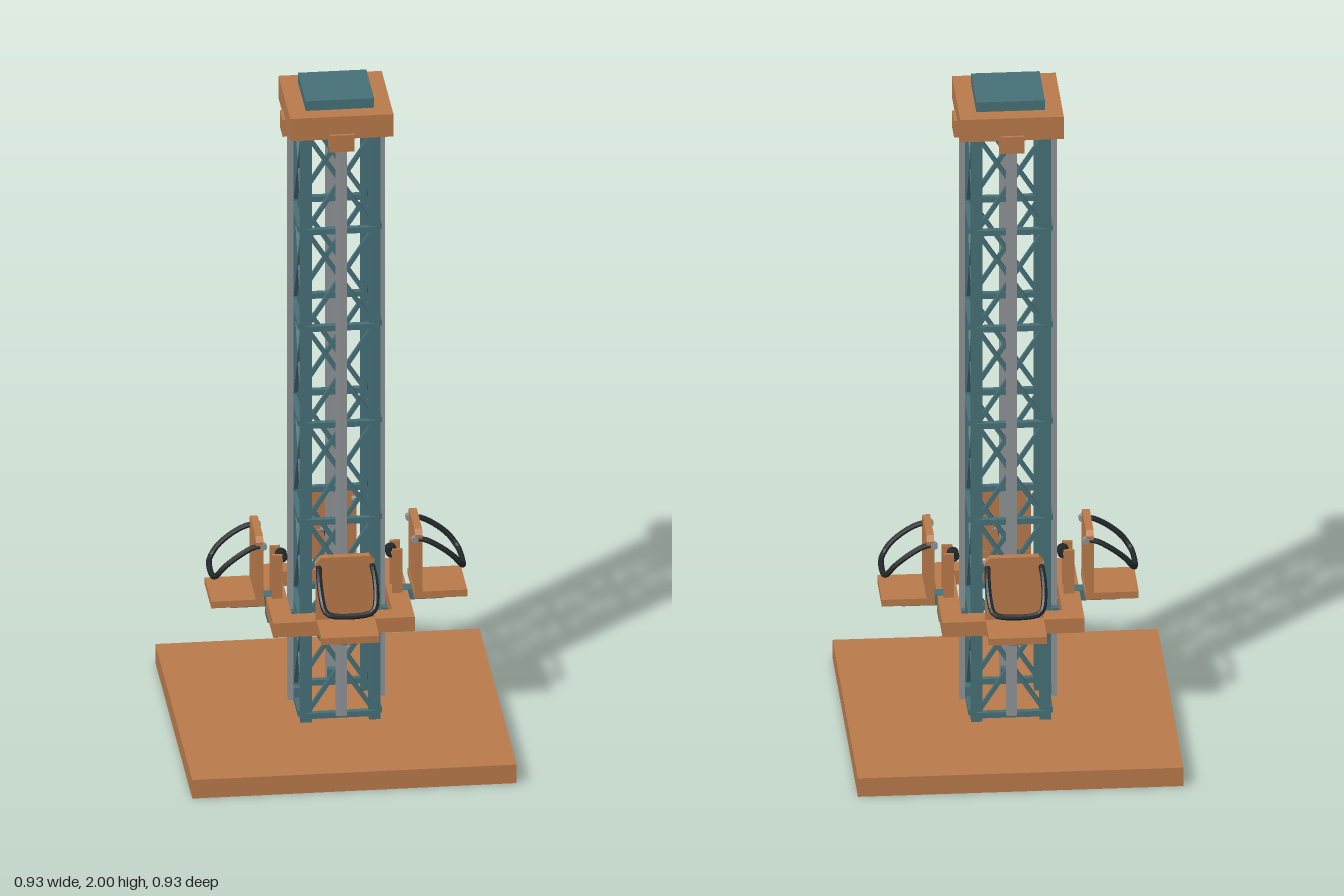
import * as THREE from 'three';

const mat = (color) => new THREE.MeshStandardMaterial({ color, flatShading: true });
const orange = mat(0xb87a4b), teal = mat(0x467077), steel = mat(0x8f9396), black = mat(0x22282a);

function add(parent, name, geometry, material, x = 0, y = 0, z = 0) {
  const mesh = new THREE.Mesh(geometry, material);
  mesh.name = name;
  mesh.position.set(x, y, z);
  parent.add(mesh);
  return mesh;
}

// Box given by its minimum and maximum on each axis
function box(parent, name, material, [x0, x1], [y0, y1], [z0, z1]) {
  return add(parent, name, new THREE.BoxGeometry(x1 - x0, y1 - y0, z1 - z0), material,
    (x0 + x1) / 2, (y0 + y1) / 2, (z0 + z1) / 2);
}

// Square bar between two points
function strut(parent, name, a, b, t) {
  const dir = b.clone().sub(a);
  const mesh = add(parent, name, new THREE.BoxGeometry(t, dir.length(), t), teal);
  mesh.position.copy(a).add(b).multiplyScalar(0.5);
  mesh.quaternion.setFromUnitVectors(new THREE.Vector3(0, 1, 0), dir.normalize());
}

// One face of the lattice tower, with its guide rail
function towerSide() {
  const g = new THREE.Group();
  g.name = 'towerSide';
  const v = (x, y, z) => new THREE.Vector3(x, y, z);
  const bays = 6, y0 = 0.08, step = 0.3035, w = 0.098;
  for (let i = 0; i <= bays; i++) {
    const y = y0 + i * step;
    strut(g, 'crossbar', v(-w, y, 0.112), v(w, y, 0.112), 0.017);
    if (i === bays) break;
    strut(g, 'brace', v(-w, y, 0.106), v(w, y + step, 0.106), 0.012);
    strut(g, 'brace', v(w, y, 0.104), v(-w, y + step, 0.104), 0.012);
  }
  box(g, 'guideRail', steel, [-0.015, 0.015], [0.085, 1.88], [0.124, 0.139]);
  box(g, 'railFoot', teal, [-0.012, 0.012], [0.09, 0.12], [0.104, 0.125]);
  box(g, 'railBracket', orange, [-0.035, 0.035], [1.863, 1.915], [0.11, 0.157]);
  return g;
}

// Seat with backrest, restraint bar, support beam and guide roller
function seatUnit() {
  const g = new THREE.Group();
  g.name = 'seatUnit';
  box(g, 'seat', orange, [-0.083, 0.083], [0.416, 0.437], [0.215, 0.367]);
  box(g, 'supportBeam', teal, [-0.02, 0.02], [0.385, 0.4165], [0.178, 0.305]);
  box(g, 'underBlock', teal, [-0.036, 0.036], [0.34, 0.371], [0.125, 0.2]);

  // Backrest with clipped top corners
  const s = new THREE.Shape();
  s.moveTo(-0.083, 0.437);
  s.lineTo(0.083, 0.437);
  s.lineTo(0.083, 0.615);
  s.lineTo(0.07, 0.63);
  s.lineTo(-0.07, 0.63);
  s.lineTo(-0.083, 0.615);
  s.closePath();
  add(g, 'backrest', new THREE.ExtrudeGeometry(s, { depth: 0.022, bevelEnabled: false }), orange, 0, 0, 0.217);

  // Restraint bar bent over the lap
  const half = [[0.076, 0.6, 0.222], [0.077, 0.598, 0.245], [0.08, 0.577, 0.285],
    [0.078, 0.54, 0.33], [0.071, 0.513, 0.35], [0.055, 0.503, 0.358]];
  const pts = [...half, ...half.slice().reverse().map(([x, y, z]) => [-x, y, z])]
    .map((p) => new THREE.Vector3(...p));
  const path = new THREE.CurvePath();
  for (let i = 1; i < pts.length; i++) path.add(new THREE.LineCurve3(pts[i - 1], pts[i]));
  const smooth = new THREE.CatmullRomCurve3(pts, false, 'centripetal');
  add(g, 'restraintBar', new THREE.TubeGeometry(smooth, 32, 0.0085, 8), black);

  // Roller running on the rail between two cheek plates
  const roller = add(g, 'guideRoller', new THREE.CylinderGeometry(0.017, 0.017, 0.03, 16), black, 0, 0.534, 0.157);
  roller.rotation.z = Math.PI / 2;
  const axle = add(g, 'rollerAxle', new THREE.CylinderGeometry(0.006, 0.006, 0.07, 10), steel, 0, 0.534, 0.162);
  axle.rotation.z = Math.PI / 2;
  for (const side of [-1, 1]) {
    add(g, 'rollerPlate', new THREE.BoxGeometry(0.01, 0.137, 0.03), orange, side * 0.031, 0.482, 0.172);
    const hinge = add(g, 'barHinge', new THREE.CylinderGeometry(0.01, 0.01, 0.016, 12), steel, side * 0.077, 0.6, 0.217);
    hinge.rotation.z = Math.PI / 2;
  }
  return g;
}

// Square ring that rides up and down the tower
function carriage() {
  const square = (P, r) => {
    const p = new P();
    p.moveTo(-r, -r);
    p.lineTo(r, -r);
    p.lineTo(r, r);
    p.lineTo(-r, r);
    p.closePath();
    return p;
  };
  const shape = square(THREE.Shape, 0.203);
  shape.holes.push(square(THREE.Path, 0.144));
  const geo = new THREE.ExtrudeGeometry(shape, { depth: 0.045, bevelEnabled: false });
  geo.rotateX(-Math.PI / 2);
  return geo;
}

export function createModel() {
  const model = new THREE.Group();
  model.name = 'dropTower';
  box(model, 'base', orange, [-0.465, 0.465], [0, 0.058], [-0.465, 0.465]);
  box(model, 'crown', orange, [-0.148, 0.148], [1.9, 1.97], [-0.148, 0.148]);
  box(model, 'cap', teal, [-0.098, 0.098], [1.97, 2], [-0.098, 0.098]);
  add(model, 'carriageRing', carriage(), orange, 0, 0.37, 0);

  for (const x of [-1, 1]) for (const z of [-1, 1])
    add(model, 'towerLeg', new THREE.BoxGeometry(0.032, 1.845, 0.032), teal, x * 0.098, 0.98, z * 0.098);

  for (let i = 0; i < 4; i++) {
    for (const part of [towerSide(), seatUnit()]) {
      part.rotation.y = (i * Math.PI) / 2;
      model.add(part);
    }
  }
  return model;
}
